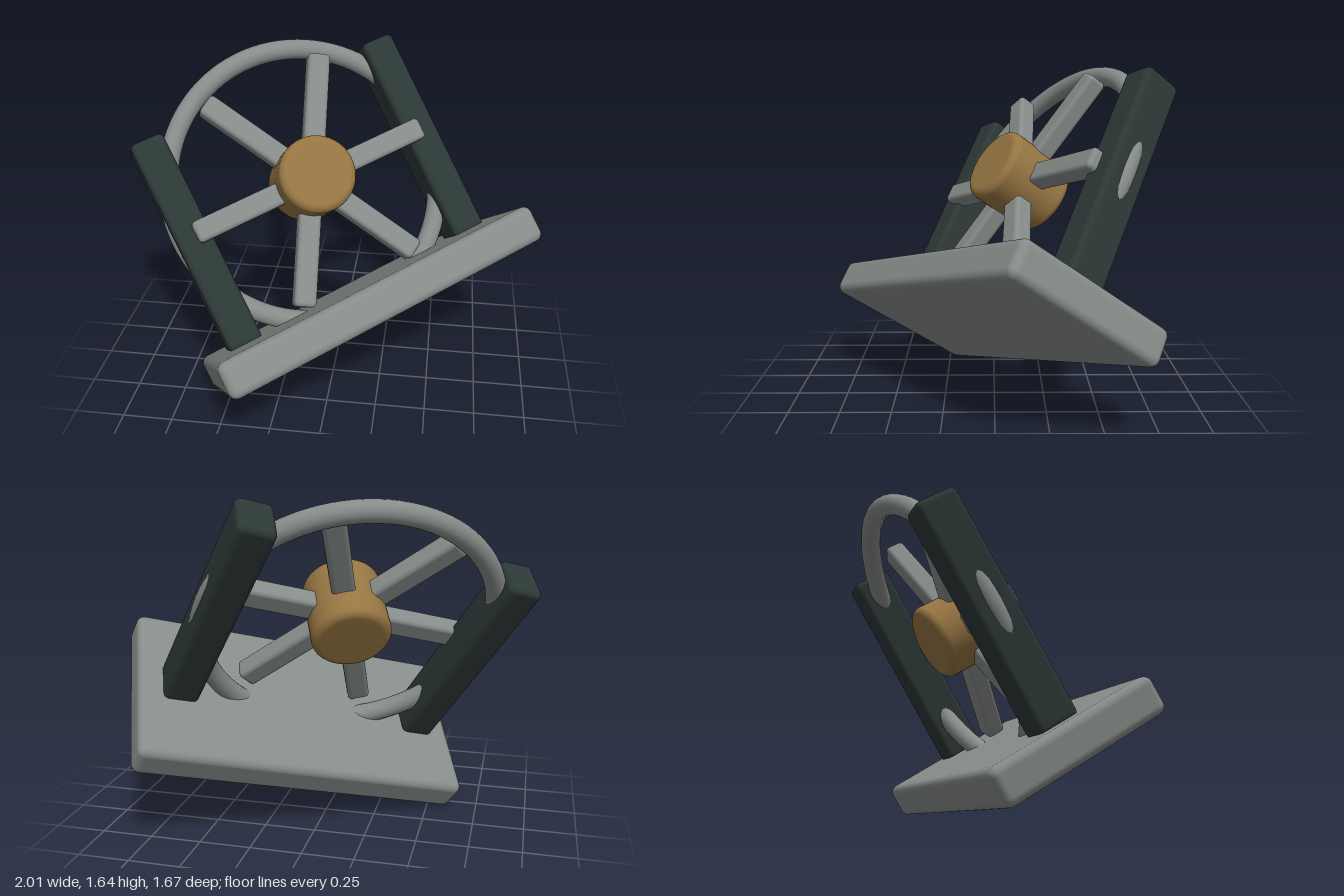
import * as THREE from 'three';
import { RoundedBoxGeometry } from 'three/addons/geometries/RoundedBoxGeometry.js';

const material = (name, color) => {
  const m = new THREE.MeshStandardMaterial({ color });
  m.name = name;
  return m;
};

export function createModel() {
  const steel = material('grey metal', 0x868c89);
  const iron = material('dark iron', 0x2c3836);
  const brass = material('brass', 0x967542);

  const model = new THREE.Group();
  model.name = 'wheelStand';

  const add = (name, geometry, mat, x, y, z, parent = model) => {
    const mesh = new THREE.Mesh(geometry, mat);
    mesh.name = name;
    mesh.position.set(x, y, z);
    parent.add(mesh);
    return mesh;
  };

  // Base slab
  const baseHeight = 0.18;
  add('base', new RoundedBoxGeometry(1.68, baseHeight, 0.85, 4, 0.04), steel, 0, baseHeight / 2, 0);

  // Two uprights
  const postBottom = 0.165, postTop = 1.265;
  for (const side of [-1, 1]) {
    add(side > 0 ? 'leftPost' : 'rightPost',
      new RoundedBoxGeometry(0.17, postTop - postBottom, 0.205, 4, 0.03),
      iron, side * 0.64, (postTop + postBottom) / 2, 0);
  }

  // Rim, running through the uprights and into the base
  const axleHeight = 0.754;
  add('rim', new THREE.TorusGeometry(0.69, 0.05, 20, 96), steel, 0, axleHeight, 0);

  // Hub and spokes sit slightly forward of the rim
  const wheel = new THREE.Group();
  wheel.name = 'hubAndSpokes';
  wheel.position.set(0, axleHeight, 0.1);
  model.add(wheel);

  // Hub with rounded edges
  const r = 0.188, h = 0.185, e = 0.04;
  const profile = [new THREE.Vector2(0, -h)];
  for (const [cy, start] of [[-h + e, -Math.PI / 2], [h - e, 0]]) {
    for (let i = 0; i <= 6; i++) {
      const a = start + (i / 6) * Math.PI / 2;
      profile.push(new THREE.Vector2(r - e + e * Math.cos(a), cy + e * Math.sin(a)));
    }
  }
  profile.push(new THREE.Vector2(0, h));
  add('hub', new THREE.LatheGeometry(profile, 48), brass, 0, 0, 0, wheel).rotation.x = Math.PI / 2;

  // Six spokes
  const spokeInner = 0.1, spokeOuter = 0.63;
  const spokeGeometry = new RoundedBoxGeometry(spokeOuter - spokeInner, 0.11, 0.1, 4, 0.022);
  spokeGeometry.translate((spokeOuter + spokeInner) / 2, 0, 0);
  for (let i = 0; i < 6; i++) {
    add('spoke' + (i + 1), spokeGeometry, steel, 0, 0, 0, wheel).rotation.z = i * Math.PI / 3;
  }

  // Tilt the whole stand onto one corner of its base
  const right = new THREE.Vector3(0.804, 0.25, -0.54).normalize();
  const front = new THREE.Vector3(0.32, 0.565, 0.76);
  front.addScaledVector(right, -front.dot(right)).normalize();
  const up = new THREE.Vector3().crossVectors(front, right);
  model.quaternion.setFromRotationMatrix(new THREE.Matrix4().makeBasis(right, up, front));
  model.position.set(0.2135, 0.426, 0.082);

  const root = new THREE.Group();
  root.name = 'model';
  root.add(model);
  return root;
}
